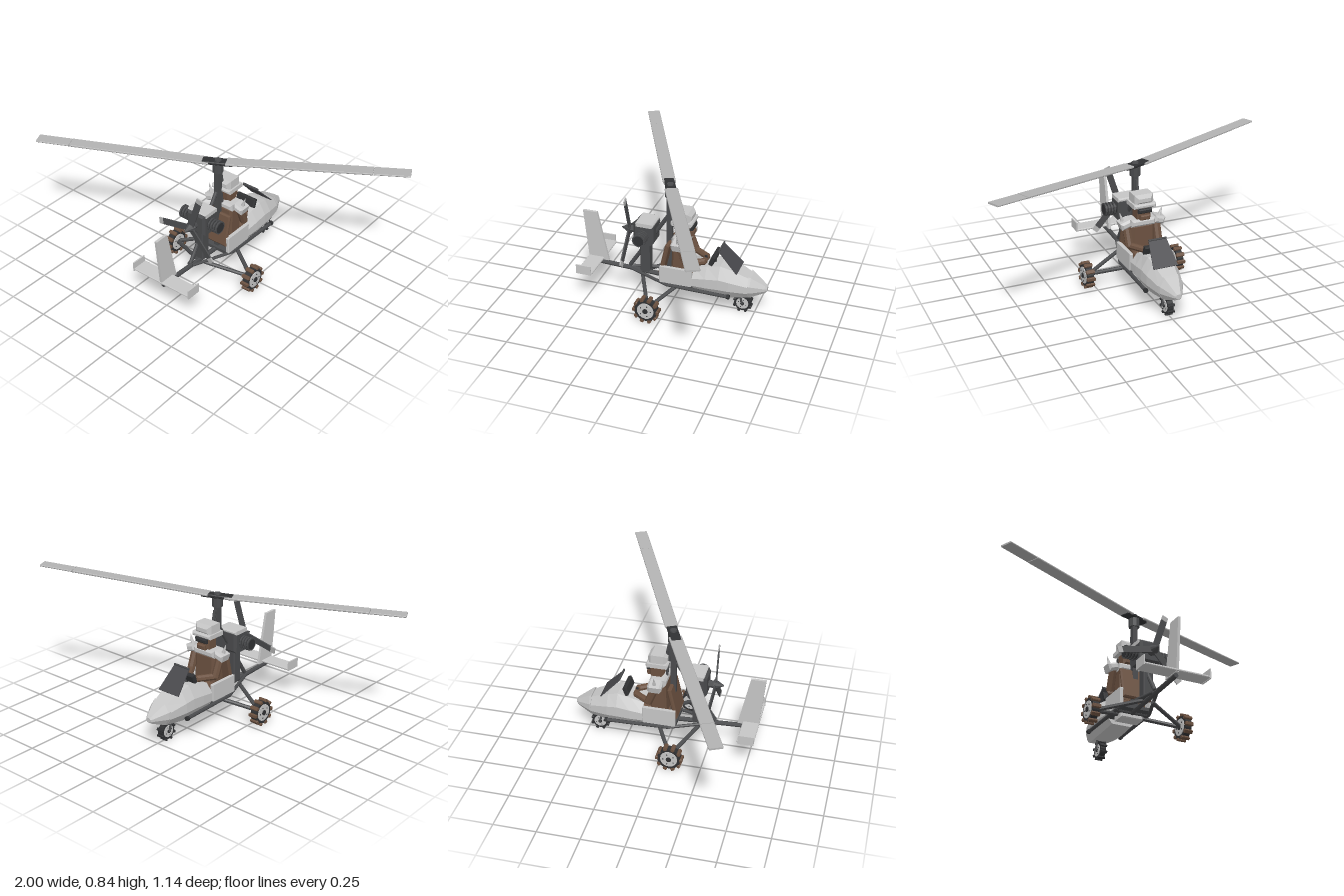
import * as THREE from 'three';

const mat = (name, color) => {
  const m = new THREE.MeshStandardMaterial({ color, flatShading: true, side: THREE.DoubleSide });
  m.name = name;
  return m;
};

export function createModel() {
  const M = {
    light: mat('light grey', 0xc6c6c6), blade: mat('blade grey', 0xb2b2b2), dark: mat('dark metal', 0x4a4b4d),
    black: mat('black', 0x303133), brown: mat('brown', 0x6b5140), glass: mat('tinted glass', 0x48484c),
  };
  const root = new THREE.Group();
  const V = (x, y, z) => new THREE.Vector3(x, y, z);
  const add = (name, geo, m, pos = [0, 0, 0], rot = [0, 0, 0], parent = root) => {
    const mesh = new THREE.Mesh(geo, m);
    mesh.name = name;
    mesh.position.set(...pos);
    mesh.rotation.set(...rot);
    parent.add(mesh);
    return mesh;
  };
  const group = (name, pos, parent = root) => {
    const g = new THREE.Group();
    g.name = name;
    g.position.set(...pos);
    parent.add(g);
    return g;
  };
  const box = (w, h, d) => new THREE.BoxGeometry(w, h, d);
  const cyl = (r1, r2, h, n = 12) => new THREE.CylinderGeometry(r1, r2, h, n);
  // Box with chamfered edges
  const chamfer = (w, h, d, b = 0.01) => {
    const x = w / 2 - b, y = h / 2 - b;
    const s = new THREE.Shape([[-x, -y], [x, -y], [x, y], [-x, y]].map(p => new THREE.Vector2(...p)));
    return new THREE.ExtrudeGeometry(s, { depth: d - 2 * b, bevelSize: b, bevelThickness: b, bevelSegments: 1 })
      .translate(0, 0, b - d / 2);
  };
  const rod = (name, a, b, r, m = M.dark, n = 8, r2 = r) => {
    const p = V(...a), q = V(...b), d = q.clone().sub(p);
    const mesh = add(name, cyl(r2, r, d.length(), n), m, p.clone().add(q).multiplyScalar(0.5).toArray());
    mesh.quaternion.setFromUnitVectors(V(0, 1, 0), d.normalize());
    return mesh;
  };
  // Octagonal loft through rings of [z, half width, bottom, top], rear to nose
  const loft = rings => {
    const ring = ([z, w, lo, hi]) => {
      const c = (lo + hi) / 2, h = (hi - lo) / 2;
      return [[1, -0.35], [1, 0.3], [0.6, 1], [-0.6, 1], [-1, 0.3], [-1, -0.35], [-0.6, -1], [0.6, -1]]
        .map(([x, y]) => [x * w, c + y * h, z]);
    };
    const R = rings.map(ring), pos = [];
    for (let i = 0; i < R.length - 1; i++) for (let k = 0; k < 8; k++) {
      const j = (k + 1) % 8, a = R[i][k], b = R[i][j], c = R[i + 1][k], d = R[i + 1][j];
      pos.push(...a, ...c, ...b, ...b, ...c, ...d);
    }
    const A = R[0], B = R[R.length - 1];
    for (let k = 1; k < 7; k++) pos.push(...A[0], ...A[k], ...A[k + 1], ...B[0], ...B[k + 1], ...B[k]);
    const g = new THREE.BufferGeometry();
    g.setAttribute('position', new THREE.Float32BufferAttribute(pos, 3));
    g.computeVertexNormals();
    return g;
  };

  // Fuselage
  add('noseBody', loft([[-0.14, 0.1, 0.12, 0.272], [-0.22, 0.105, 0.113, 0.295], [-0.3, 0.105, 0.11, 0.312],
    [-0.36, 0.1, 0.112, 0.298], [-0.47, 0.073, 0.122, 0.25]]), M.light);
  add('noseCone', loft([[-0.467, 0.074, 0.122, 0.262], [-0.48, 0.07, 0.125, 0.255], [-0.56, 0.026, 0.155, 0.202],
    [-0.572, 0.016, 0.165, 0.192]]), M.light);
  for (const s of [1, -1]) add('cockpitSide', chamfer(0.022, 0.105, 0.2, 0.004), M.light, [s * 0.095, 0.215, -0.04]);
  add('cockpitFloor', box(0.18, 0.02, 0.2), M.dark, [0, 0.158, -0.04]);
  add('bellyPan', chamfer(0.14, 0.03, 0.09, 0.006), M.light, [0, 0.127, -0.045]);
  add('windscreen', new THREE.ExtrudeGeometry(new THREE.Shape(
    [[-0.075, 0], [0.075, 0], [0.055, 0.168], [-0.055, 0.168]].map(p => new THREE.Vector2(...p))),
  { depth: 0.006, bevelEnabled: false }), M.glass, [0, 0.285, -0.405], [0.756, 0, 0]);
  rod('windscreenTopBar', [-0.055, 0.41, -0.29], [0.055, 0.41, -0.29], 0.006);
  add('instrumentPanel', chamfer(0.135, 0.055, 0.028, 0.006), M.black, [0, 0.335, -0.25], [-0.35, 0, 0]);
  rod('panelStalk', [0, 0.28, -0.255], [0, 0.33, -0.25], 0.01);

  // Frame tubes
  rod('tailBoom', [0, 0.17, 0.525], [0, 0.145, 0], 0.014);
  for (const s of [1, -1]) {
    rod('sideRail', [s * 0.105, 0.142, -0.365], [s * 0.1, 0.148, 0.02], 0.011);
    rod('railCap', [s * 0.105, 0.142, -0.372], [s * 0.105, 0.142, -0.355], 0.014, M.black);
    rod('rearRail', [s * 0.1, 0.148, 0.02], [s * 0.012, 0.165, 0.28], 0.01);
    rod('frontAxleStrut', [s * 0.28, 0.083, 0.07], [s * 0.07, 0.145, -0.05], 0.012);
    rod('rearAxleStrut', [s * 0.28, 0.083, 0.07], [s * 0.03, 0.145, 0.19], 0.012);
  }
  rod('crossTube', [-0.1, 0.147, 0], [0.1, 0.147, 0], 0.011);

  // Mast and rotor
  add('mast', box(0.03, 0.54, 0.032), M.dark, [0, 0.43, 0.027]);
  rod('rearBrace', [0, 0.55, 0.04], [0, 0.178, 0.28], 0.012);
  rod('controlRod', [0, 0.665, 0.01], [0, 0.4, -0.05 + 0.03], 0.008);
  rod('controlLink', [0, 0.665, 0], [0, 0.59, -0.015], 0.009);
  add('rotorHead', cyl(0.032, 0.032, 0.055, 10), M.dark, [0, 0.712, 0.025]);
  const rotor = group('rotor', [0, 0.749, 0.024]);
  rotor.rotation.y = 0.431;
  add('rotorHub', chamfer(0.18, 0.02, 0.06, 0.005), M.black, [0, 0, 0], [0, 0, 0.04], rotor);
  add('hubBolt', cyl(0.02, 0.024, 0.02, 8), M.dark, [0, 0.008, 0], [0, 0, 0], rotor);
  for (const s of [1, -1]) {
    const arm = group('rotorArm', [0, s > 0 ? 0.003 : -0.002, 0], rotor);
    arm.rotation.z = s > 0 ? 0.083 : 0.003;
    add('rotorBlade', chamfer(0.83, 0.012, 0.076, 0.003), M.blade, [s * 0.465, 0, 0], [0, 0, 0], arm);
    add('rotorBladeTip', chamfer(0.202, 0.01, 0.076, 0.003), M.blade, [s * 0.984, 0, 0], [0, 0, 0], arm);
  }

  // Engine and propeller
  add('enginePylon', chamfer(0.06, 0.21, 0.06, 0.006), M.dark, [0, 0.272, 0.176]);
  add('engineBlock', chamfer(0.13, 0.135, 0.125, 0.014), M.dark, [0, 0.437, 0.173]);
  add('engineCover', chamfer(0.135, 0.024, 0.112, 0.008), M.light, [0, 0.498, 0.168]);
  for (const s of [1, -1]) {
    add('cylinderBarrel', cyl(0.032, 0.032, 0.075), M.black, [s * 0.1, 0.432, 0.175], [0, 0, Math.PI / 2]);
    for (let i = 0; i < 4; i++)
      add('coolingFin', cyl(0.04, 0.04, 0.009), M.dark, [s * (0.078 + i * 0.018), 0.432, 0.175], [0, 0, Math.PI / 2]);
  }
  rod('propShaft', [0, 0.43, 0.23], [0, 0.43, 0.285], 0.022);
  rod('spinner', [0, 0.43, 0.268], [0, 0.43, 0.326], 0.034, M.dark, 10, 0.003);
  const prop = group('propeller', [0, 0.43, 0.278]);
  for (const deg of [72, 192, 312]) {
    const arm = group('propArm', [0, 0, 0], prop);
    arm.rotation.z = deg * Math.PI / 180;
    add('propBlade', box(0.19, 0.038, 0.008), M.dark, [0.11, 0, 0], [0.1, 0, 0], arm);
    add('propTip', box(0.03, 0.038, 0.008), M.blade, [0.22, 0, 0], [0.1, 0, 0], arm);
  }

  // Tail
  const fin = new THREE.Shape([[-0.572, 0.503], [-0.483, 0.503], [-0.415, 0.184], [-0.54, 0.184]]
    .map(p => new THREE.Vector2(...p)));
  add('tailFin', new THREE.ExtrudeGeometry(fin, { depth: 0.016, bevelEnabled: false }).translate(0, 0, -0.008),
    M.light, [0, 0, 0], [0, Math.PI / 2, 0]);
  add('stabiliser', chamfer(0.405, 0.014, 0.098, 0.004), M.light, [0, 0.195, 0.495]);
  for (const s of [1, -1]) add('endPlate', box(0.008, 0.058, 0.092), M.light, [s * 0.203, 0.213, 0.5]);

  // Wheels with lugged tyres
  const wheel = (name, pos, r, width, lugMat, count) => {
    const w = group(name, pos);
    const flat = [0, 0, Math.PI / 2];
    add('tyre', cyl(r * 0.86, r * 0.86, width * 0.75, 20), M.black, [0, 0, 0], flat, w);
    add('rim', cyl(r * 0.64, r * 0.64, width * 0.9, 16), M.light, [0, 0, 0], flat, w);
    add('hub', cyl(r * 0.2, r * 0.2, width * 1.1, 10), M.black, [0, 0, 0], flat, w);
    for (let i = 0; i < count; i++) {
      const a = (i + 0.5) / count * Math.PI * 2;
      add('tyreLug', chamfer(width, r * 0.2, r * 0.3, r * 0.05), lugMat,
        [0, Math.cos(a) * r * 0.9, Math.sin(a) * r * 0.9], [a, 0, 0], w);
      if (i % 2) for (const s of [1, -1])
        add('rimBolt', cyl(r * 0.05, r * 0.05, 0.006, 6), M.dark,
          [s * width * 0.46, Math.cos(a) * r * 0.42, Math.sin(a) * r * 0.42], flat, w);
    }
  };
  for (const s of [1, -1]) wheel(s > 0 ? 'leftWheel' : 'rightWheel', [s * 0.292, 0.081, 0.072], 0.08, 0.052, M.brown, 10);
  wheel('noseWheel', [0, 0.059, -0.428], 0.058, 0.045, M.black, 8);
  for (const s of [1, -1]) rod('noseFork', [s * 0.027, 0.058, -0.428], [s * 0.027, 0.14, -0.41], 0.007);

  // Seat
  add('seatBack', chamfer(0.18, 0.2, 0.026, 0.008), M.brown, [0, 0.305, 0.038], [-0.22, 0, 0]);
  add('seatBase', chamfer(0.15, 0.04, 0.13, 0.008), M.brown, [0, 0.19, -0.04]);

  // Pilot
  const torso = chamfer(0.145, 0.22, 0.105, 0.015);
  const tp = torso.attributes.position;
  for (let i = 0; i < tp.count; i++) tp.setZ(i, tp.getZ(i) * (1 - (tp.getY(i) + 0.11) * 0.8));
  torso.computeVertexNormals();
  add('torso', torso, M.brown, [0, 0.315, -0.052]);
  add('collar', chamfer(0.15, 0.045, 0.1, 0.012), M.light, [0, 0.434, -0.054]);
  add('neck', cyl(0.03, 0.03, 0.05, 8), M.brown, [0, 0.46, -0.06]);
  add('head', chamfer(0.085, 0.085, 0.09, 0.015), M.brown, [0, 0.503, -0.068]);
  add('jaw', chamfer(0.06, 0.03, 0.03, 0.006), M.brown, [0, 0.475, -0.112]);
  add('goggles', chamfer(0.085, 0.026, 0.026, 0.006), M.black, [0, 0.516, -0.116]);
  add('helmetBrim', chamfer(0.136, 0.026, 0.13, 0.008), M.light, [0, 0.545, -0.061]);
  add('helmet', chamfer(0.115, 0.062, 0.115, 0.02), M.light, [0, 0.579, -0.06]);
  for (const s of [1, -1]) {
    add('shoulderPad', chamfer(0.065, 0.045, 0.085, 0.012), M.light, [s * 0.105, 0.432, -0.06], [0, 0, -s * 0.3]);
    rod('shoulderSpike', [s * 0.115, 0.445, -0.06], [s * 0.135, 0.505, -0.06], 0.013, M.light, 6, 0.001);
    rod('upperArm', [s * 0.095, 0.42, -0.06], [s * 0.092, 0.305, -0.105], 0.024, M.brown);
    rod('forearm', [s * 0.092, 0.308, -0.1], [s * 0.03, 0.308, -0.195], 0.02, M.brown);
    add('hand', chamfer(0.035, 0.03, 0.03, 0.007), M.brown, [s * 0.025, 0.308, -0.195]);
    rod('thigh', [s * 0.045, 0.235, -0.05], [s * 0.045, 0.235, -0.17], 0.032, M.brown);
  }
  rod('controlStick', [0, 0.26, -0.2], [0, 0.33, -0.195], 0.008, M.black);

  return root;
}
